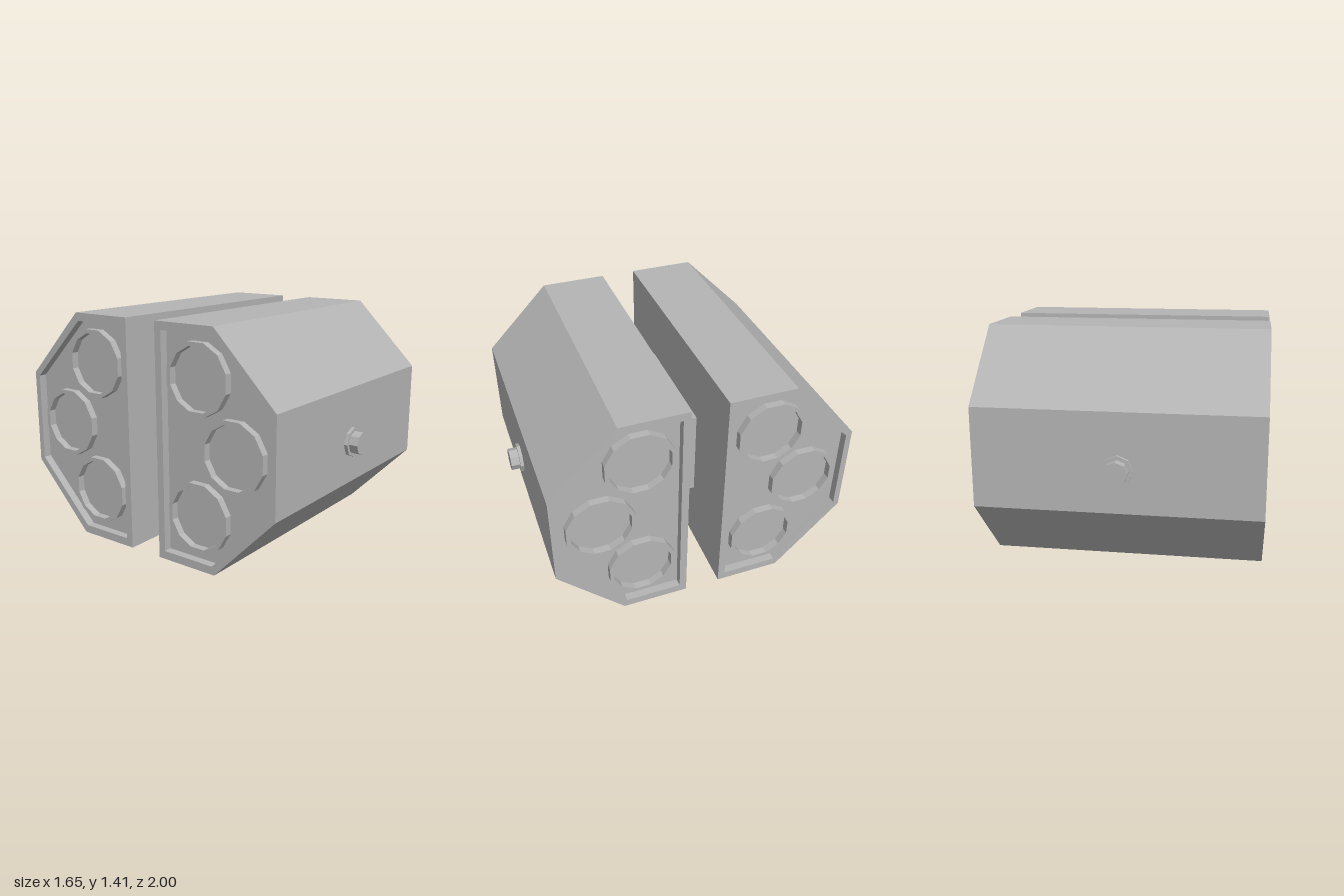
import * as THREE from 'three';

const LENGTH = 1.65;   // along x
const RECESS = 0.05;   // depth of the end pockets

// Profiles as [z, y]
const OUTER = [[0.11, 0], [0.52, 0], [0.925, 0.415], [0.925, 1.0], [0.52, 1.41], [0.11, 1.41]];
const INNER = [[0.155, 0.05], [0.503, 0.05], [0.888, 0.435], [0.888, 0.98], [0.503, 1.36], [0.155, 1.36]];
const RINGS = [[0.395, 1.11], [0.635, 0.71], [0.395, 0.31]];

const points = (list) => list.map(([z, y]) => new THREE.Vector2(z, y));

// Regular twelve-sided outline with flats on the axes
function dodecagon(cz, cy, apothem) {
  const r = apothem / Math.cos(Math.PI / 12);
  return Array.from({ length: 12 }, (_, i) => {
    const a = ((i + 0.5) * Math.PI) / 6;
    return new THREE.Vector2(cz + r * Math.cos(a), cy + r * Math.sin(a));
  });
}

// Extrude a z-y outline along x, centred on x = 0
function prism(outline, depth, hole) {
  const shape = new THREE.Shape(outline);
  if (hole) shape.holes.push(new THREE.Path(hole));
  return new THREE.ExtrudeGeometry(shape, { depth, bevelEnabled: false, steps: 1 })
    .translate(0, 0, -depth / 2)
    .rotateY(-Math.PI / 2);
}

export function createModel() {
  const grey = new THREE.MeshStandardMaterial({ color: 0xb4b4b4, flatShading: true });
  grey.name = 'grey';
  const model = new THREE.Group();
  model.name = 'twinTubePod';

  const add = (parent, name, geometry) => {
    const mesh = new THREE.Mesh(geometry, grey);
    mesh.name = name;
    parent.add(mesh);
    return mesh;
  };

  for (const side of [1, -1]) {
    const label = side > 0 ? 'front' : 'back';

    // Casing with a recessed floor and tube rims at both ends
    const pod = new THREE.Group();
    pod.name = label + 'Pod';
    if (side < 0) pod.rotation.y = Math.PI;
    model.add(pod);
    add(pod, 'casing', prism(points(OUTER), LENGTH, points(INNER)));
    add(pod, 'core', prism(points(INNER), LENGTH - 2 * RECESS));
    for (const end of [1, -1]) {
      for (const [z, y] of RINGS) {
        const rim = prism(dodecagon(z, y, 0.205), 0.045, dodecagon(z, y, 0.18));
        add(pod, 'tubeRim', rim).position.x = end * (LENGTH / 2 - RECESS + 0.0225);
      }
    }

    // Octagonal bolt on the outer face
    const bolt = new THREE.Group();
    bolt.name = label + 'Bolt';
    bolt.position.set(-0.01, 0.668, 0);
    model.add(bolt);
    for (const [name, radius, z0, z1] of [['boltFlange', 0.09, 0.92, 0.946], ['boltHead', 0.069, 0.93, 1.0]]) {
      const g = new THREE.CylinderGeometry(radius, radius, z1 - z0, 8).rotateX(Math.PI / 2);
      add(bolt, name, g).position.z = (side * (z0 + z1)) / 2;
    }
  }

  // Block joining the two pods
  add(model, 'connector', new THREE.BoxGeometry(0.76, 0.575, 0.22)).position.y = 0.708;

  return model;
}
